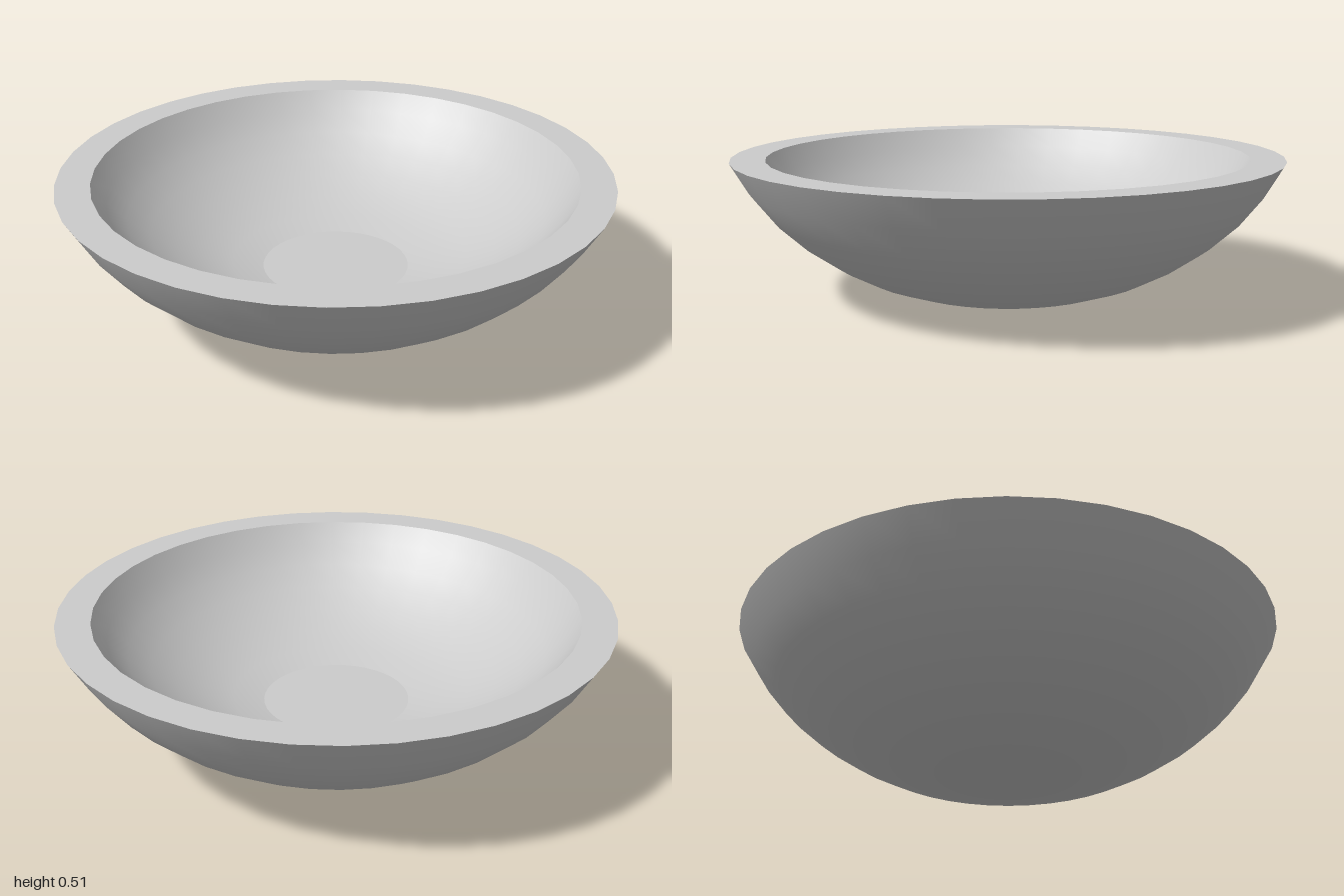
import * as THREE from 'three';

const SEGMENTS = 40;

export function createModel() {
  const bowl = new THREE.Group();
  bowl.name = 'bowl';
  const material = new THREE.MeshStandardMaterial({ color: 0xcccccc });

  // Profiles run from the foot up the outside, over the rim and down the inside.
  const outer = [[0.27, 0], [0.4, 0.03], [0.53, 0.075], [0.645, 0.135],
    [0.755, 0.21], [0.855, 0.3], [0.935, 0.4], [1, 0.51]];
  const inner = [[0.875, 0.51], [0.825, 0.437], [0.757, 0.363], [0.676, 0.298],
    [0.586, 0.241], [0.488, 0.193], [0.382, 0.156], [0.27, 0.135]];

  // Separate lathes keep the creases at foot, rim and floor sharp.
  const parts = {
    foot: [[0, 0], outer[0]],
    outerWall: outer,
    rim: [outer[outer.length - 1], inner[0]],
    innerWall: inner,
    floor: [inner[inner.length - 1], [0, 0.135]],
  };

  for (const [name, profile] of Object.entries(parts)) {
    const points = profile.map(([r, y]) => new THREE.Vector2(r, y));
    const mesh = new THREE.Mesh(new THREE.LatheGeometry(points, SEGMENTS), material);
    mesh.name = name;
    bowl.add(mesh);
  }
  return bowl;
}
